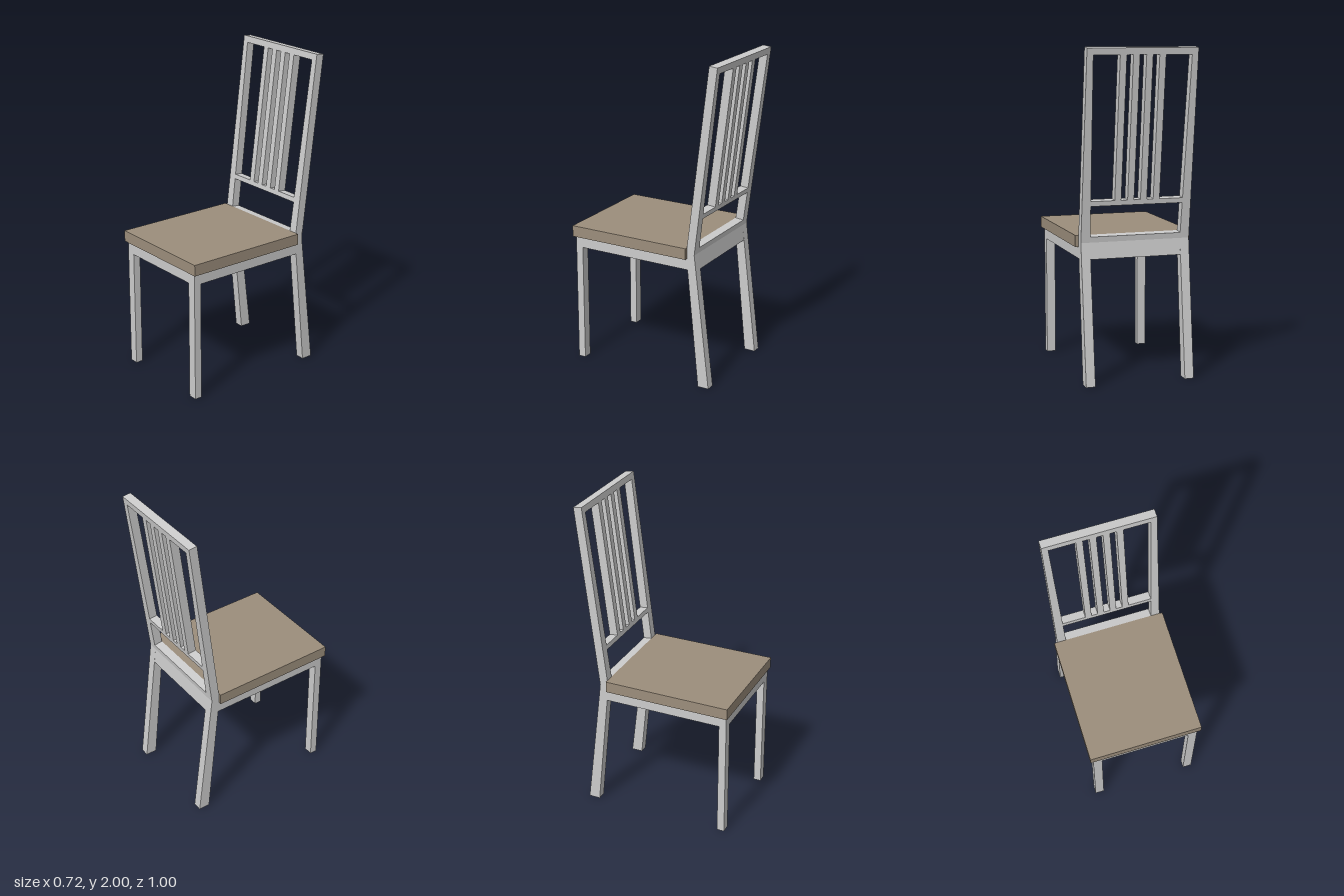
import * as THREE from 'three';

const frameMat = new THREE.MeshStandardMaterial({ color: 0xcccccc });
frameMat.name = 'paleGreyPaint';
const seatMat = new THREE.MeshStandardMaterial({ color: 0x9c8e7c });
seatMat.name = 'taupeCushion';

// Front and rear faces of the leaning backrest, as z at height y
const frontZ = y => -0.307 - (y - 0.89) * 0.1243;
const rearZ = y => -0.357 - (y - 0.85) * 0.1234;
const DROP = 0.006; // rails are square to the lean, so their rear edge sits lower

// Prism with a [z, y] profile, running from x0 to x1
function prism(profile, x0, x1) {
  const shape = new THREE.Shape(profile.map(([z, y]) => new THREE.Vector2(z, y)));
  const geo = new THREE.ExtrudeGeometry(shape, { depth: x1 - x0, bevelEnabled: false });
  geo.rotateY(-Math.PI / 2);
  geo.translate(x1, 0, 0);
  return geo;
}

// Profile of a backrest member between two heights
const backProfile = (y0, y1) => [
  [frontZ(y0), y0], [rearZ(y0 - DROP), y0 - DROP],
  [rearZ(y1 - DROP), y1 - DROP], [frontZ(y1), y1],
];

function box(x0, x1, y0, y1, z0, z1) {
  const geo = new THREE.BoxGeometry(x1 - x0, y1 - y0, z1 - z0);
  geo.translate((x0 + x1) / 2, (y0 + y1) / 2, (z0 + z1) / 2);
  return geo;
}

export function createModel() {
  const chair = new THREE.Group();
  chair.name = 'chair';
  const add = (name, geo, mat = frameMat) => {
    const mesh = new THREE.Mesh(geo, mat);
    mesh.name = name;
    chair.add(mesh);
  };

  const outer = 0.34, inner = 0.283, innerTop = 0.302;

  // Seat and the frame beneath it
  add('seat', box(-0.36, 0.36, 0.82, 0.89, -0.307, 0.497), seatMat);
  add('seatFrame', box(-outer, outer, 0.75, 0.82, -0.312, 0.485));

  // Rear apron follows the bend of the back legs
  add('rearApron', prism([
    [-0.312, 0.75], [-0.368, 0.75], [-0.357, 0.85], [-0.361, 0.884], [-0.307, 0.89],
  ], -inner, inner));

  for (const side of [1, -1]) {
    const label = side > 0 ? 'left' : 'right';
    const span = (a, b) => (side > 0 ? [a, b] : [-b, -a]);

    add(label + 'FrontLeg', box(...span(inner, outer), 0, 0.75, 0.438, 0.485));

    // Splayed back leg up to the bend
    add(label + 'BackLeg', prism([
      [-0.388, 0], [-0.46, 0], [-0.357, 0.85], [-0.361, 0.884], [-0.307, 0.89],
      [-0.307, 0.82], [-0.312, 0.75],
    ], ...span(inner, outer)));

    // Leaning post, its inner face narrowing towards the top
    const post = prism(backProfile(0.89, 2), ...span(inner, outer));
    const p = post.attributes.position;
    for (let i = 0; i < p.count; i++) {
      if (Math.abs(p.getX(i)) < 0.3 && p.getY(i) > 1.9) p.setX(i, side * innerTop);
    }
    post.computeVertexNormals();
    add(label + 'BackPost', post);
  }

  // Cross rails
  add('topRail', prism(backProfile(1.96, 2), -innerTop, innerTop));
  add('lowerRail', prism(backProfile(1.075, 1.105), -0.287, 0.287));

  // Upright slats
  for (const x of [-0.12, -0.04, 0.04, 0.12]) {
    add('backSlat', prism(backProfile(1.105, 1.96), x - 0.02, x + 0.02));
  }
  return chair;
}
